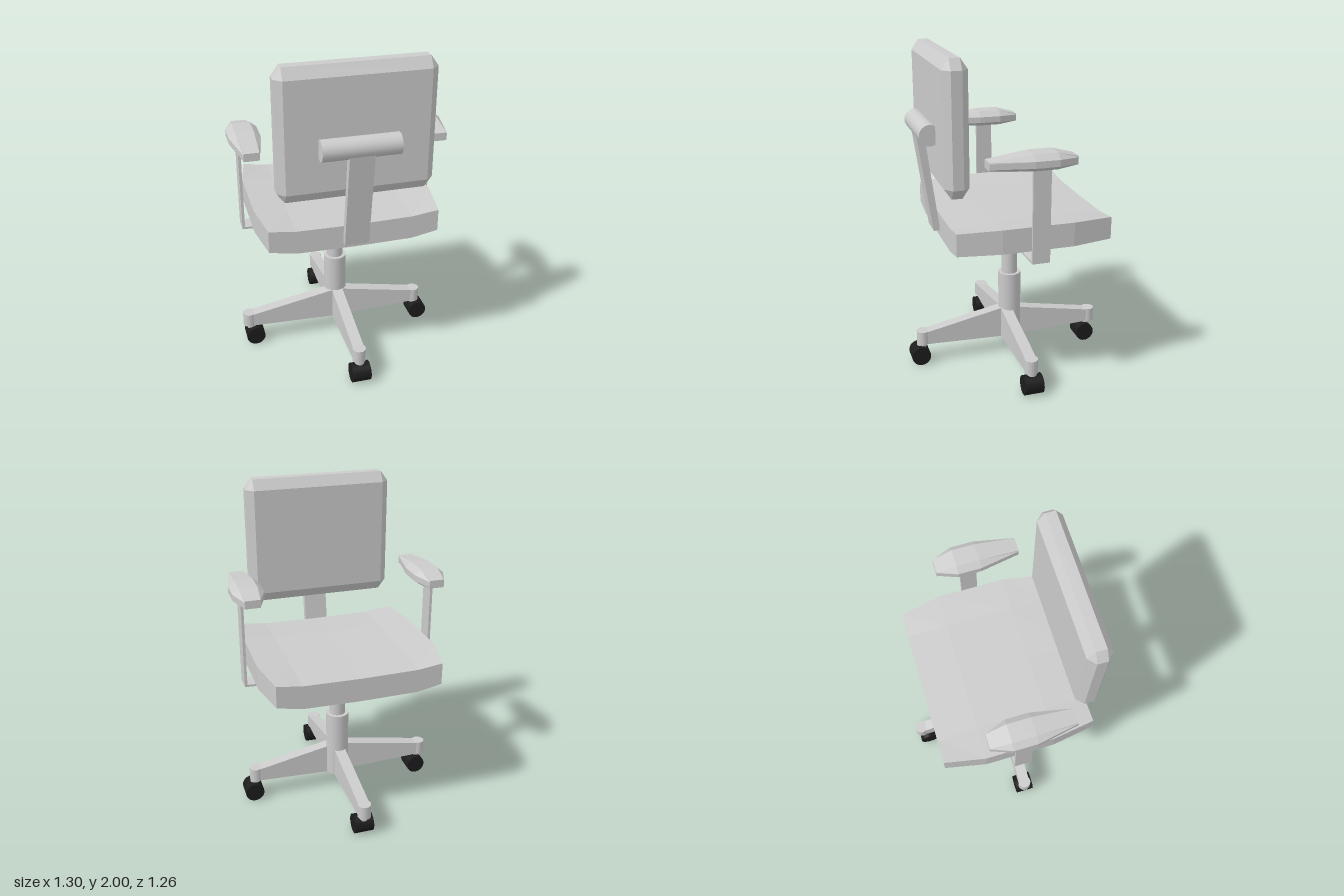
import * as THREE from 'three';
import { ConvexGeometry } from 'three/addons/geometries/ConvexGeometry.js';

const grey = new THREE.MeshStandardMaterial({ color: 0xcccccc });
const black = new THREE.MeshStandardMaterial({ color: 0x1c1c1c });

function add(parent, name, geometry, x = 0, y = 0, z = 0, material = grey) {
  const mesh = new THREE.Mesh(geometry, material);
  mesh.name = name;
  mesh.position.set(x, y, z);
  parent.add(mesh);
  return mesh;
}

// Prism from an outline in x and y, centred on z
function prism(points, depth) {
  const shape = new THREE.Shape(points.map(([x, y]) => new THREE.Vector2(x, y)));
  return new THREE.ExtrudeGeometry(shape, { depth, bevelEnabled: false }).translate(0, 0, -depth / 2);
}

// Faceted, capped skin over counter-clockwise [x, y] rings placed at increasing z
function loft(slices) {
  const pos = [];
  const put = (s, i) => pos.push(s.ring[i][0], s.ring[i][1], s.z);
  const n = slices[0].ring.length;
  for (let k = 0; k < slices.length - 1; k++) {
    const a = slices[k], b = slices[k + 1];
    for (let i = 0; i < n; i++) {
      const j = (i + 1) % n;
      put(a, i); put(a, j); put(b, j);
      put(a, i); put(b, j); put(b, i);
    }
  }
  const cap = (s, flip) => {
    const outline = s.ring.map(([x, y]) => new THREE.Vector2(x, y));
    for (const t of THREE.ShapeUtils.triangulateShape(outline, [])) {
      (flip ? [t[2], t[1], t[0]] : t).forEach((i) => put(s, i));
    }
  };
  cap(slices[0], true);
  cap(slices[slices.length - 1], false);
  const g = new THREE.BufferGeometry();
  g.setAttribute('position', new THREE.Float32BufferAttribute(pos, 3));
  g.computeVertexNormals();
  return g;
}

// Dished seat: raised sides, narrower at front and back
function seatGeometry() {
  const section = (w, lift) => [
    [-w, 0.915], [-0.35, 0.885], [0, 0.88], [0.35, 0.885], [w, 0.915],
    [w, 1.05 + lift], [0.35, 1.03 + lift], [0, 1.025 + lift], [-0.35, 1.03 + lift], [-w, 1.05 + lift],
  ];
  return loft([[-0.5, 0.5, 0], [-0.25, 0.55, 0.01], [0.18, 0.55, 0.01], [0.435, 0.51, 0]]
    .map(([z, w, lift]) => ({ z, ring: section(w, lift) })));
}

// Armrest pad: eight-sided section tapering to both ends
function padGeometry() {
  const section = (w, t, bottom, low, high, top) => [
    [-t, bottom], [t, bottom], [w, low], [w, high], [t, top], [-t, top], [-w, high], [-w, low],
  ];
  const end = section(0.046, 0.044, 1.42, 1.43, 1.46, 1.468);
  const middle = section(0.093, 0.055, 1.405, 1.43, 1.468, 1.5);
  return loft([
    { z: -0.238, ring: end }, { z: -0.115, ring: middle },
    { z: 0.025, ring: middle }, { z: 0.27, ring: end },
  ]);
}

// Chamfered block from half sizes and the chamfer cut on each axis
function chamferedBlock(half, cut) {
  const points = [];
  for (const sx of [-1, 1]) for (const sy of [-1, 1]) for (const sz of [-1, 1]) {
    for (let full = 0; full < 3; full++) {
      const c = half.map((h, i) => (i === full ? h : h - cut[i]));
      points.push(new THREE.Vector3(sx * c[0], sy * c[1], sz * c[2]));
    }
  }
  return new ConvexGeometry(points);
}

export function createModel() {
  const chair = new THREE.Group();
  chair.name = 'swivelChair';

  // Seat
  add(chair, 'seat', seatGeometry());

  // Backrest with its sloping post and cross bar
  add(chair, 'backrest', chamferedBlock([0.455, 0.39, 0.073], [0.045, 0.062, 0.042]), 0, 1.61, 0.402);
  add(chair, 'backBar', new THREE.CylinderGeometry(0.062, 0.062, 0.45, 32).rotateZ(Math.PI / 2), 0, 1.545, 0.507);
  const post = prism([[-0.47, 0.915], [-0.43, 0.915], [-0.51, 1.52], [-0.557, 1.52]], 0.145);
  add(chair, 'backPost', post.rotateY(Math.PI / 2));

  // Armrests
  for (const side of [1, -1]) {
    add(chair, side > 0 ? 'leftArmPad' : 'rightArmPad', padGeometry(), side * 0.556);
  }

  // One bent strap carries both pads under the seat
  const half = [[0, 0.825], [0.6, 0.855], [0.6, 1.415], [0.584, 1.415], [0.584, 0.868], [0, 0.838]];
  const mirrored = half.slice(1, 5).reverse().map(([x, y]) => [-x, y]);
  add(chair, 'armStrap', prism([...half, ...mirrored], 0.105), 0, 0, -0.032);

  // Gas lift column
  const columnZ = -0.032;
  for (const [name, r, low, high] of [
    ['lowerColumn', 0.072, 0.12, 0.557], ['upperColumn', 0.05, 0.55, 0.84], ['seatCollar', 0.072, 0.83, 0.9],
  ]) {
    add(chair, name, new THREE.CylinderGeometry(r, r, high - low, 32), 0, (low + high) / 2, columnZ);
  }

  // Four tapered legs: turn about y, reach, distance to the caster
  const legs = [[0, 0.543, 0.565], [Math.PI / 2, 0.586, 0.55], [Math.PI, 0.588, 0.557], [-Math.PI / 2, 0.545, 0.57]];
  for (const [turn, reach, casterAt] of legs) {
    const leg = new THREE.Group();
    leg.name = 'leg';
    leg.rotation.y = turn;
    chair.add(leg);
    add(leg, 'legBeam', prism([[0, 0.11], [reach, 0.132], [reach, 0.212], [0, 0.322]], 0.07));
    add(leg, 'legEnd', new THREE.CylinderGeometry(0.041, 0.041, 0.088, 24), reach, 0.174);
    add(leg, 'casterStem', new THREE.CylinderGeometry(0.03, 0.03, 0.06, 16), (reach + casterAt) / 2, 0.11);
    add(leg, 'caster', new THREE.CylinderGeometry(0.06, 0.06, 0.116, 24).rotateX(Math.PI / 2), casterAt, 0.06, 0, black);
  }
  return chair;
}
